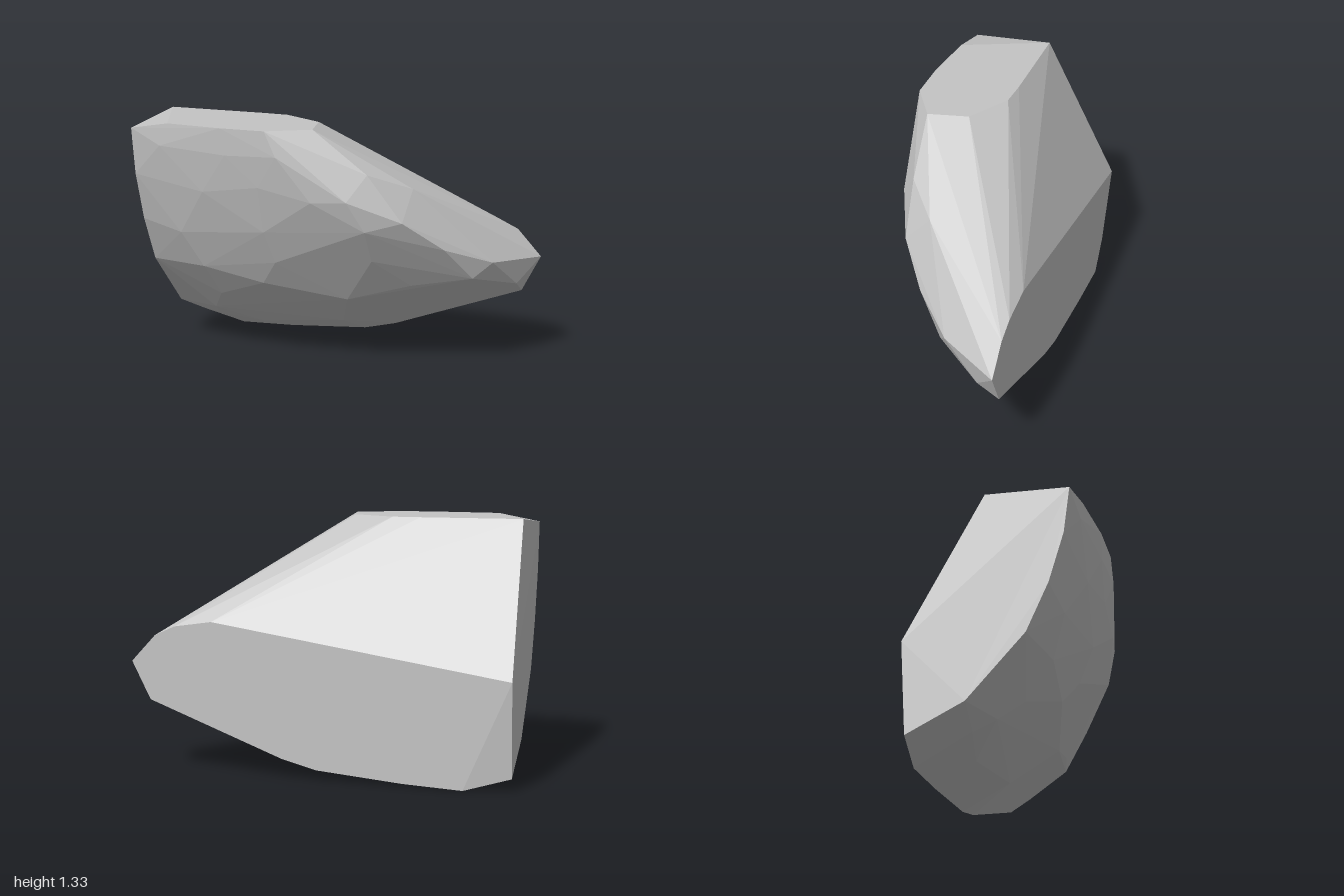
import * as THREE from 'three';
import { ConvexGeometry } from 'three/addons/geometries/ConvexGeometry.js';

export function createModel() {
  const stone = new THREE.MeshStandardMaterial({ color: 0xc4c4c4 });
  stone.name = 'light grey stone';
  stone.flatShading = true;

  const BACK = -0.435, TOP = 1.33;

  // flat back wall (x, y)
  const back = [[-1, 0.56], [-0.76, 0.003], [-0.45, 0.018], [0, 0.058], [0.18, 0.105], [0.9, 0.38],
    [1, 0.58], [0.87, 0.72], [0.76, 0.77], [0.56, 0.8]].map(([x, y]) => [x, y, BACK]);

  // flat top (x, z)
  const top = [[-0.98, -0.04], [-0.45, -0.046], [-0.3, -0.04], [-0.07, 0.09], [-0.02, 0.3], [-0.23, 0.43],
    [-0.47, 0.435], [-0.78, 0.41]].map(([x, z]) => [x, TOP, z]);

  // flat cut side (y, z)
  const side = [[1.29, 0.395], [1.04, 0.365], [0.78, 0.29], [0.53, 0.18], [0.21, -0.11],
    [0.07, -0.4]].map(([y, z]) => [-1, y, z]);

  // bulging front, from the top rim down to the base
  const front = [
    [-0.17, 1.2, 0.43], [-0.45, 1.19, 0.43], [-0.83, 1.21, 0.41],
    [-0.6, 0.98, 0.39], [-0.28, 1.03, 0.405], [0, 0.97, 0.385], [0.18, 0.98, 0.355],
    [-0.77, 0.73, 0.31], [-0.28, 0.78, 0.34], [0.26, 0.82, 0.3],
    [-0.25, 0.6, 0.26], [0.26, 0.64, 0.19], [-0.68, 0.53, 0.23], [-0.35, 0.46, 0.19],
    [-0.65, 0.34, 0.085], [0.08, 0.38, 0.065], [-0.74, 0.22, -0.03],
    [-0.78, 0.15, -0.14], [-0.52, 0.11, -0.2], [-0.03, 0.18, -0.17],
  ];

  // tapering shoulder and tip
  const tip = [
    [0.26, 1.11, 0.265], [0.45, 1.02, 0.1], [0.44, 0.87, 0.24], [0.62, 0.71, 0.09],
    [0.82, 0.61, -0.12], [0.73, 0.53, -0.06], [0.42, 0.48, 0.02], [0.9, 0.45, -0.32],
  ];

  const points = [...back, ...top, ...side, ...front, ...tip].map((p) => new THREE.Vector3(...p));
  const rock = new THREE.Mesh(new ConvexGeometry(points), stone);
  rock.name = 'rock';

  const group = new THREE.Group();
  group.name = 'facetedRock';
  group.add(rock);
  return group;
}
